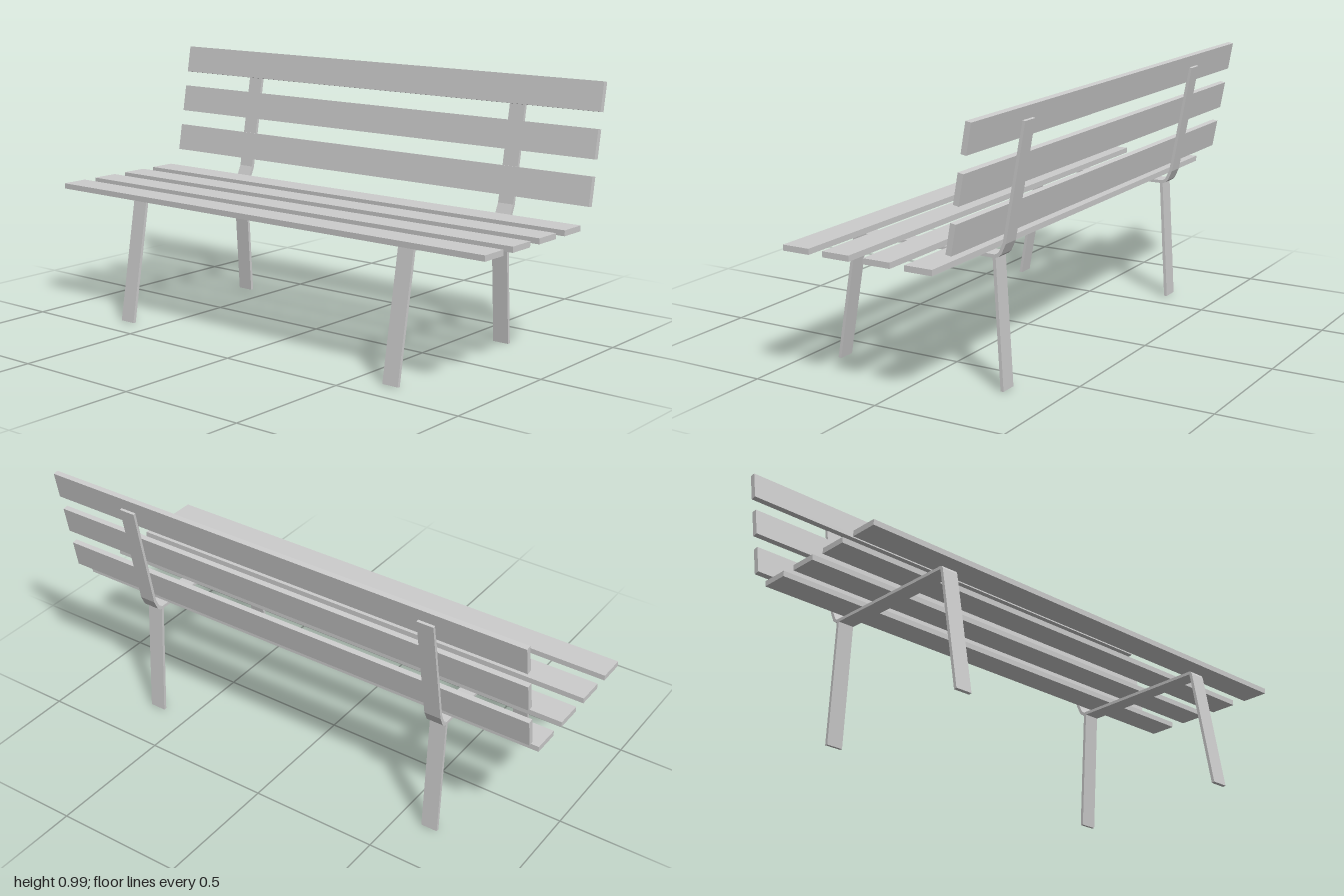
import * as THREE from 'three';

const material = new THREE.MeshStandardMaterial({ color: 0xcccccc, flatShading: true });
const STRAP_WIDTH = 0.065, STRAP_THICKNESS = 0.012;
const SLAT_HEIGHT = 0.107, SLAT_THICKNESS = 0.021;

// Flat bar bent along a centre line of [z, y] points, extruded across x
function strap(name, points) {
  const p = points.map(([z, y]) => new THREE.Vector2(z, y));
  const normal = (a, b) => new THREE.Vector2(a.y - b.y, b.x - a.x).normalize();
  const near = [], far = [];
  p.forEach((v, i) => {
    const n0 = normal(p[Math.max(i - 1, 0)], p[Math.max(i, 1)]);
    const n1 = normal(p[Math.min(i, p.length - 2)], p[Math.min(i + 1, p.length - 1)]);
    const miter = n0.clone().add(n1).normalize();
    miter.multiplyScalar(STRAP_THICKNESS / 2 / miter.dot(n0));
    near.push(v.clone().add(miter));
    far.unshift(v.clone().sub(miter));
  });
  const geometry = new THREE.ExtrudeGeometry(new THREE.Shape([...near, ...far]), {
    depth: STRAP_WIDTH, bevelEnabled: false,
  });
  geometry.translate(0, 0, -STRAP_WIDTH / 2);
  geometry.rotateY(-Math.PI / 2); // shape x becomes world z
  const mesh = new THREE.Mesh(geometry, material);
  mesh.name = name;
  return mesh;
}

function slat(name, y, z, tilt) {
  const mesh = new THREE.Mesh(new THREE.BoxGeometry(2, SLAT_HEIGHT, SLAT_THICKNESS), material);
  mesh.name = name;
  mesh.position.set(0, y, z);
  mesh.rotation.x = tilt;
  return mesh;
}

export function createModel() {
  const bench = new THREE.Group();
  bench.name = 'bench';

  // Two bent metal frames: front leg, seat rail and back support in one bar, plus a rear leg
  for (const [side, x] of [['right', -0.627], ['left', 0.647]]) {
    const frame = new THREE.Group();
    frame.name = side + 'Frame';
    frame.add(strap('frontLegAndBackSupport', [
      [0.386, 0.001], [0.304, 0.466], [0.301, 0.472], [0.295, 0.474],
      [-0.272, 0.474], [-0.283, 0.478], [-0.292, 0.486], [-0.309, 0.523], [-0.384, 0.943],
    ]));
    frame.add(strap('rearLeg', [[-0.269, 0.469], [-0.298, 0.001]]));
    frame.position.x = x;
    bench.add(frame);
  }

  // Seat slats, lying flat
  for (let i = 0; i < 4; i++) {
    bench.add(slat('seatSlat' + (i + 1), 0.491, 0.31 - i * 0.1643, Math.PI / 2));
  }

  // Back slats, leaning with the support
  for (let i = 0; i < 3; i++) {
    bench.add(slat('backSlat' + (i + 1), 0.61 + i * 0.1645, -0.308 - i * 0.03, -0.177));
  }

  return bench;
}
